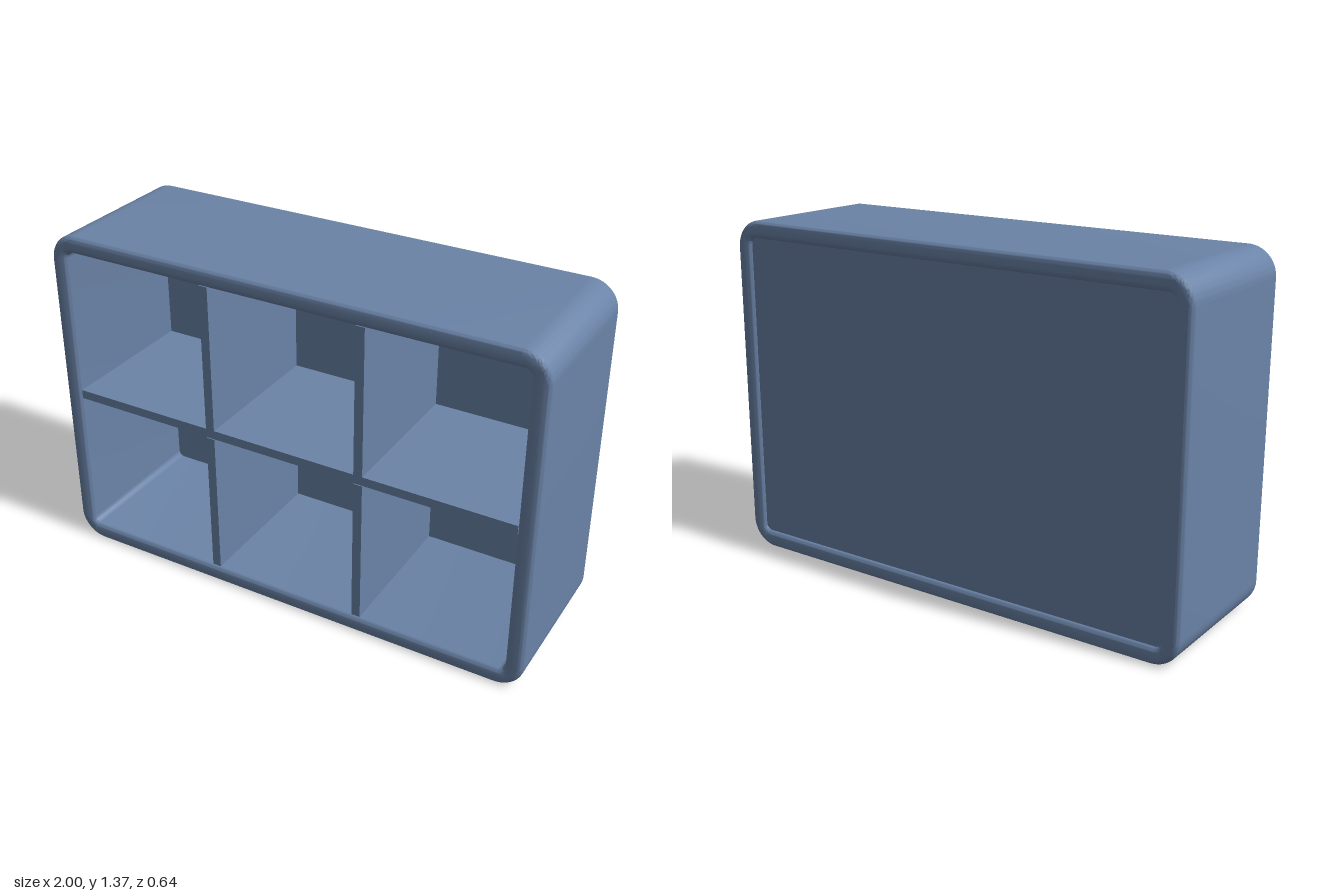
import * as THREE from 'three';
import { toCreasedNormals } from 'three/addons/utils/BufferGeometryUtils.js';

const W = 2, H = 1.366, D = 0.64;   // outer size
const WALL = 0.07, BEVEL = 0.02;
const MID = H / 2;

// Rounded rectangle outline centred on the origin
function roundedRect(path, w, h, r) {
  const x = w / 2, y = h / 2;
  path.moveTo(-x + r, -y);
  path.lineTo(x - r, -y);
  path.absarc(x - r, -y + r, r, -Math.PI / 2, 0);
  path.lineTo(x, y - r);
  path.absarc(x - r, y - r, r, 0, Math.PI / 2);
  path.lineTo(-x + r, y);
  path.absarc(-x + r, y - r, r, Math.PI / 2, Math.PI);
  path.lineTo(-x, -y + r);
  path.absarc(-x + r, -y + r, r, Math.PI, Math.PI * 1.5);
  return path;
}

export function createModel() {
  const group = new THREE.Group();
  group.name = 'cubbyShelf';
  const blue = new THREE.MeshStandardMaterial({ color: 0x6b84a8 });
  blue.name = 'slateBlue';

  const add = (name, geometry, x, y, z) => {
    const mesh = new THREE.Mesh(geometry, blue);
    mesh.name = name;
    mesh.position.set(x, y, z);
    group.add(mesh);
  };

  // Outer frame: rounded tube with softened front and back rims
  const innerW = W - 2 * WALL, innerH = H - 2 * WALL;
  const outline = roundedRect(new THREE.Shape(), W, H, 0.11);
  outline.holes.push(roundedRect(new THREE.Path(), innerW, innerH, 0.025));
  const frame = new THREE.ExtrudeGeometry(outline, {
    depth: D - 2 * BEVEL, curveSegments: 12,
    bevelEnabled: true, bevelThickness: BEVEL, bevelSize: BEVEL,
    bevelOffset: -BEVEL, bevelSegments: 5,
  });
  frame.translate(0, 0, -D / 2 + BEVEL);
  add('frame', toCreasedNormals(frame, 0.7), 0, MID, 0);

  // Back panel, slightly inset from the rear rim
  const panelBack = -0.307, panelFront = -0.293;
  add('backPanel', new THREE.BoxGeometry(innerW + 0.01, innerH + 0.01, panelFront - panelBack),
    0, MID, (panelBack + panelFront) / 2);

  // Shelf across the middle and dividers above and below it
  const front = 0.31, depth = front - panelFront, z = (front + panelFront) / 2, T = 0.036;
  add('shelf', new THREE.BoxGeometry(innerW, T, depth), 0, MID + 0.003, z);
  const pieceH = (innerH - T) / 2;
  for (const x of [-0.317, 0.317]) {
    for (const side of [-1, 1]) {
      add(side > 0 ? 'upperDivider' : 'lowerDivider',
        new THREE.BoxGeometry(T, pieceH, depth), x, MID + side * (T + pieceH) / 2, z);
    }
  }
  return group;
}
